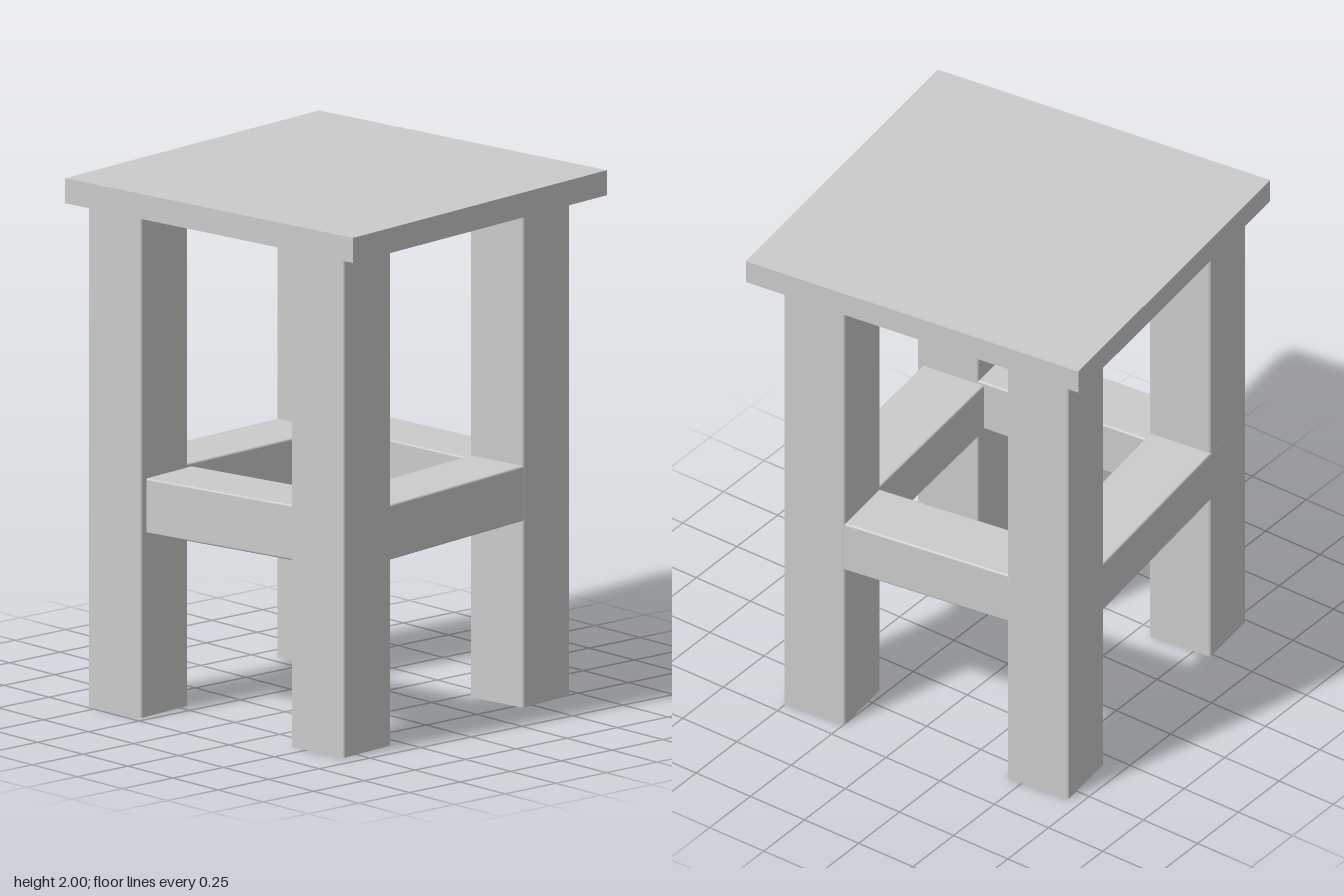
import * as THREE from 'three';
import { RoundedBoxGeometry } from 'three/addons/geometries/RoundedBoxGeometry.js';

export function createModel() {
  const model = new THREE.Group();
  model.name = 'stool';
  const material = new THREE.MeshStandardMaterial({ color: 0xcccccc });
  const add = (name, geometry, x, y, z) => {
    const mesh = new THREE.Mesh(geometry, material);
    mesh.name = name;
    mesh.position.set(x, y, z);
    model.add(mesh);
    return mesh;
  };

  // Square seat board
  const seatBottom = 1.905;
  add('seat', new THREE.BoxGeometry(1.416, 2 - seatBottom, 1.416), 0, (2 + seatBottom) / 2, 0);

  // Four square legs, slightly unevenly placed, with softened upright edges
  const legSize = 0.262, bevel = 0.01;
  const half = legSize / 2 - bevel;
  const section = new THREE.Shape();
  [[1, 1], [-1, 1], [-1, -1], [1, -1]].forEach(([sx, sy], i) => {
    section.absarc(sx * half, sy * half, bevel, i * Math.PI / 2, (i + 1) * Math.PI / 2, false);
  });
  const legGeometry = new THREE.ExtrudeGeometry(section, {
    depth: seatBottom, bevelEnabled: false, curveSegments: 3,
  }).rotateX(-Math.PI / 2);
  const legs = {
    frontLeft: [0.479, 0.516],
    frontRight: [-0.494, 0.543],
    backRight: [-0.496, -0.508],
    backLeft: [0.456, -0.509],
  };
  for (const [name, [x, z]] of Object.entries(legs)) add(name + 'Leg', legGeometry, x, 0, z);

  // Rails rise a little along their length and sit flush with the leg at the high end
  const railHeight = 0.21, railDepth = 0.26, low = 0.797, high = 0.815;
  const addRail = (name, start, end) => {
    const a = new THREE.Vector3(start[0], low, start[1]);
    const b = new THREE.Vector3(end[0], high, end[1]);
    const mid = a.clone().add(b).multiplyScalar(0.5);
    const geometry = new RoundedBoxGeometry(railDepth, railHeight, a.distanceTo(b), 2, 0.008);
    add(name, geometry, mid.x, mid.y, mid.z).lookAt(b);
  };
  addRail('frontRail', [-0.49, 0.516], [0.479, 0.516]);
  addRail('leftRail', [0.456, 0.51], [0.456, -0.509]);
  addRail('backRail', [0.456, -0.508], [-0.496, -0.508]);
  addRail('rightRail', [-0.496, -0.508], [-0.496, 0.54]);

  // The whole stool stands turned slightly
  model.rotation.y = THREE.MathUtils.degToRad(6.9);
  return model;
}
